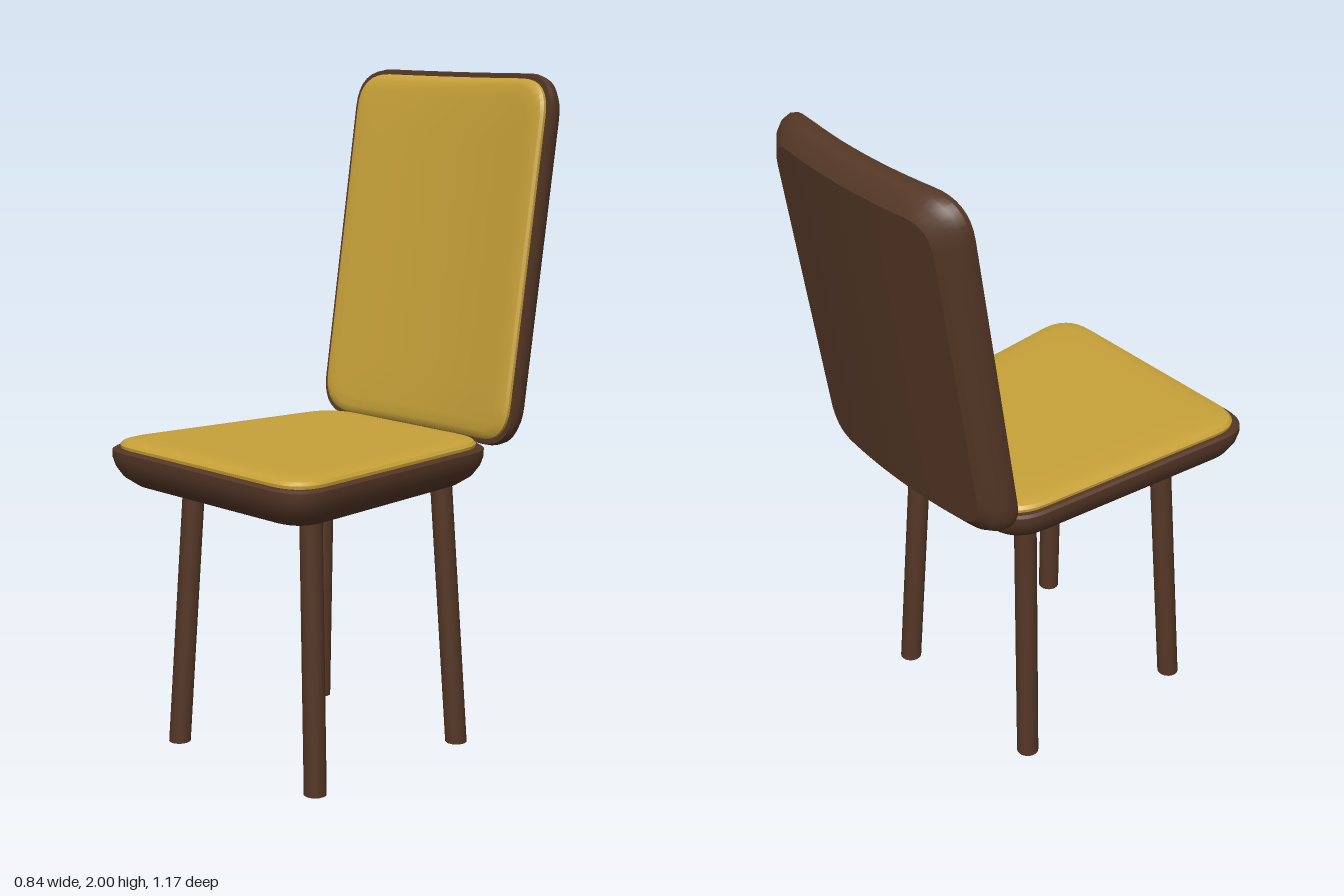
import * as THREE from 'three';
import { toCreasedNormals } from 'three/addons/utils/BufferGeometryUtils.js';

const EDGE_STEPS = 12;
const CORNER_STEPS = 8;

// Rounded trapezoid outline, counter-clockwise, with subdivided straight edges
function outline(lowHalf, highHalf, halfHeight, radius, inset) {
  const a = lowHalf - inset, b = highHalf - inset, h = halfHeight - inset;
  const r = Math.max(radius - inset * 0.5, 0.03);
  const corners = [[-a, -h], [a, -h], [b, h], [-b, h]].map(([x, y]) => new THREE.Vector2(x, y));
  const toward = (p, q) => p.clone().add(q.clone().sub(p).setLength(r));
  const points = [];
  corners.forEach((p, i) => {
    const prev = corners[(i + 3) % 4], next = corners[(i + 1) % 4];
    const start = toward(p, prev), end = toward(p, next);
    points.push(...new THREE.QuadraticBezierCurve(start, p, end).getPoints(CORNER_STEPS));
    const edgeEnd = toward(next, p);
    for (let k = 1; k < EDGE_STEPS; k++) points.push(end.clone().lerp(edgeEnd, k / EDGE_STEPS));
  });
  return points;
}

// Stacks outlines as [inset, depth] layers, closes both ends, and bends the pad across its width
function padGeometry({ low, high, halfHeight, radius, bend }, layers) {
  const first = layers[0], last = layers[layers.length - 1];
  const inner = [0, 0.25, 0.5, 0.75];
  const rings = [
    ...inner.map((s) => [...first, s]),
    ...layers.map((l) => [...l, 1]),
    ...inner.slice().reverse().map((s) => [...last, s]),
  ];
  const positions = [], index = [];
  let n = 0;
  rings.forEach(([inset, depth, s]) => {
    const points = outline(low, high, halfHeight, radius, inset);
    n = points.length;
    points.forEach((p) => positions.push(p.x * s, p.y * s, depth + bend * (p.x * s) ** 2));
  });
  for (let i = 0; i < rings.length - 1; i++) {
    for (let j = 0; j < n; j++) {
      const a = i * n + j, b = i * n + (j + 1) % n;
      if (rings[i][2] > 0) index.push(a, b, b + n);
      if (rings[i + 1][2] > 0) index.push(a, b + n, a + n);
    }
  }
  const geometry = new THREE.BufferGeometry();
  geometry.setAttribute('position', new THREE.Float32BufferAttribute(positions, 3));
  geometry.setIndex(index);
  return toCreasedNormals(geometry, 0.5);
}

export function createModel() {
  const wood = new THREE.MeshStandardMaterial({ color: 0x543726 });
  wood.name = 'dark brown wood';
  const fabric = new THREE.MeshStandardMaterial({ color: 0xc8a239 });
  fabric.name = 'mustard fabric';

  const model = new THREE.Group();
  model.name = 'chair';
  const add = (parent, name, geometry, material) => {
    const mesh = new THREE.Mesh(geometry, material);
    mesh.name = name;
    parent.add(mesh);
    return mesh;
  };

  // Seat: tapered shell with a cushion, tipped up slightly at the front
  const seat = new THREE.Group();
  seat.name = 'seat';
  seat.position.set(0, 0.813, 0.14);
  seat.rotation.x = -Math.PI / 2 - 0.017;
  const seatForm = { low: 0.432, high: 0.35, halfHeight: 0.445, radius: 0.125, bend: 0 };
  add(seat, 'seatShell', padGeometry(seatForm,
    [[0.06, 0], [0.026, 0.026], [0.008, 0.056], [0, 0.085], [0, 0.105], [0.008, 0.111]]), wood);
  add(seat, 'seatCushion', padGeometry(seatForm,
    [[0.021, 0.105], [0.019, 0.12], [0.026, 0.129], [0.042, 0.134], [0.075, 0.136]]), fabric);
  model.add(seat);

  // Backrest: leaning, curved shell with a cushion
  const back = new THREE.Group();
  back.name = 'backrest';
  back.position.set(0, 1.452, -0.421);
  back.rotation.x = -Math.PI * 9 / 180;
  const backForm = { low: 0.4, high: 0.4, halfHeight: 0.555, radius: 0.12, bend: 0.21 };
  add(back, 'backShell', padGeometry(backForm,
    [[0.055, -0.09], [0.02, -0.065], [0.004, -0.04], [0, -0.015], [0.004, 0]]), wood);
  add(back, 'backCushion', padGeometry(backForm,
    [[0.018, -0.005], [0.018, 0.01], [0.026, 0.018], [0.042, 0.023], [0.075, 0.025]]), fabric);
  model.add(back);

  // Legs: splayed round posts, given as foot and top centres
  const legHeight = 0.83;
  const addLeg = (name, footX, topX, footZ, topZ) => {
    const geometry = new THREE.CylinderGeometry(0.033, 0.033, legHeight, 20);
    geometry.translate(0, legHeight / 2, 0);
    const p = geometry.attributes.position;
    for (let i = 0; i < p.count; i++) {
      const t = p.getY(i) / legHeight;
      p.setX(i, p.getX(i) + THREE.MathUtils.lerp(footX, topX, t));
      p.setZ(i, p.getZ(i) + THREE.MathUtils.lerp(footZ, topZ, t));
    }
    add(model, name, geometry, wood);
  };
  for (const [side, footX, topX] of [['Left', 0.288, 0.239], ['Right', -0.308, -0.259]]) {
    addLeg('front' + side + 'Leg', footX, topX, 0.39, 0.357);
    addLeg('back' + side + 'Leg', footX, topX, -0.205, -0.177);
  }

  return model;
}
